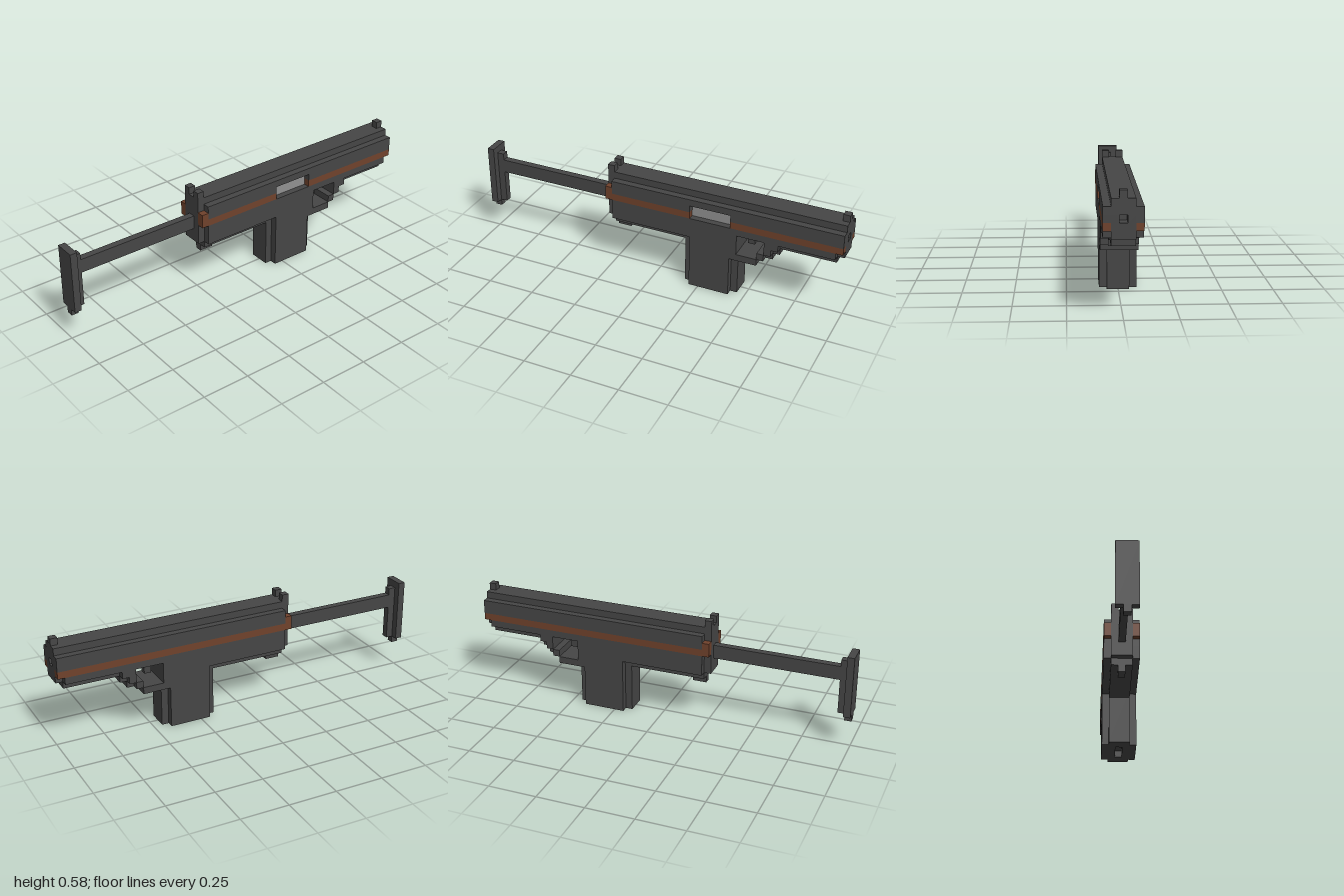
import * as THREE from 'three';

const U = 2 / 55; // one block

export function createModel() {
  const model = new THREE.Group();
  const flat = (name, color) => {
    const m = new THREE.MeshStandardMaterial({ color });
    m.name = name;
    return m;
  };
  const dark = flat('dark gunmetal', 0x464646);
  const rust = flat('rust brown', 0x70422c);
  const steel = flat('light steel', 0x929292);

  // Box given by block coordinates: x from the butt, y from the ground, z from the middle
  const box = (name, mat, x0, x1, y0, y1, z0, z1) => {
    const mesh = new THREE.Mesh(new THREE.BoxGeometry((x1 - x0) * U, (y1 - y0) * U, (z1 - z0) * U), mat);
    mesh.position.set(((x0 + x1) / 2 - 27.5) * U, (y0 + y1) / 2 * U, (z0 + z1) / 2 * U);
    mesh.name = name;
    model.add(mesh);
  };
  const mid = (name, x0, x1, y0, y1, w) => box(name, dark, x0, x1, y0, y1, -w / 2, w / 2);
  const pair = (name, mat, x0, x1, y0, y1, z0, z1) => {
    box(name + 'Left', mat, x0, x1, y0, y1, z0, z1);
    box(name + 'Right', mat, x0, x1, y0, y1, -z1, -z0);
  };

  // Stock
  mid('buttPlate', 0, 1, 5, 14, 3);
  mid('buttToe', 0, 1, 4, 5, 1);
  mid('buttRib', 1, 2, 5, 13, 1);
  mid('stockRod', 2, 20, 10, 12, 1);

  // Rear plate with notched sight and side knobs
  mid('rearPlate', 20, 21, 8, 15, 3);
  pair('rearSight', dark, 20, 21, 15, 16, 0.5, 1.5);
  pair('rearKnob', rust, 20, 21, 11, 13, 1.5, 2.5);

  // Receiver core and open muzzle
  mid('receiverCore', 21, 53, 10, 15, 3);
  mid('muzzleBottom', 53, 55, 10, 12, 3);
  mid('muzzleTop', 53, 55, 13, 15, 3);
  pair('muzzleSide', dark, 53, 55, 12, 13, 0.5, 1.5);
  mid('frontSight', 54, 55, 15, 16, 1);

  // Side panels and stripes, with a port cut in the left side
  pair('upperPanel', dark, 21, 55, 13, 14, 1.5, 2.5);
  pair('lowerPanel', dark, 21, 54, 10, 11, 1.5, 2.5);
  box('sidePanelRight', dark, 21, 55, 12, 13, -2.5, -1.5);
  box('stripeRight', rust, 21, 55, 11, 12, -2.5, -1.5);
  for (const [x0, x1] of [[21, 33], [39, 55]]) {
    box('sidePanelLeft', dark, x0, x1, 12, 13, 1.5, 2.5);
    box('stripeLeft', rust, x0, x1, 11, 12, 1.5, 2.5);
  }
  box('ejectionPort', steel, 33, 39, 11, 13, 1.4, 1.6);

  // Lower frame
  mid('lowerFrame', 21, 40, 8, 10, 5);
  mid('lowerRail', 21, 32, 7, 8, 3);
  mid('rearLug', 21, 23, 6, 7, 1);

  // Grip, hollow at the foot
  mid('gripBack', 32, 33, 0, 8, 3);
  mid('gripBody', 33, 39, 1, 8, 5);
  pair('gripFoot', dark, 33, 39, 0, 1, 0.5, 2.5);
  mid('gripFootRear', 33, 34, 0, 1, 1);
  mid('gripFootFront', 38, 39, 0, 1, 1);
  mid('gripFront', 39, 40, 0, 6, 3);
  mid('gripNeck', 39, 40, 6, 8, 5);

  // Trigger and stepped guard
  mid('trigger', 41, 42, 8, 10, 1);
  mid('guardFloor', 40, 43, 6, 7, 5);
  for (let i = 0; i < 2; i++) {
    mid('guardStep', 43 + i, 44 + i, 7 + i, 8 + i, 5);
    mid('guardStepFront', 44 + i, 45 + i, 7 + i, 8 + i, 3);
  }
  mid('guardTop', 44, 46, 9, 10, 5);
  mid('handguard', 46, 54, 9, 10, 3);
  mid('guardWeb', 44, 45, 8, 9, 5);

  return model;
}
